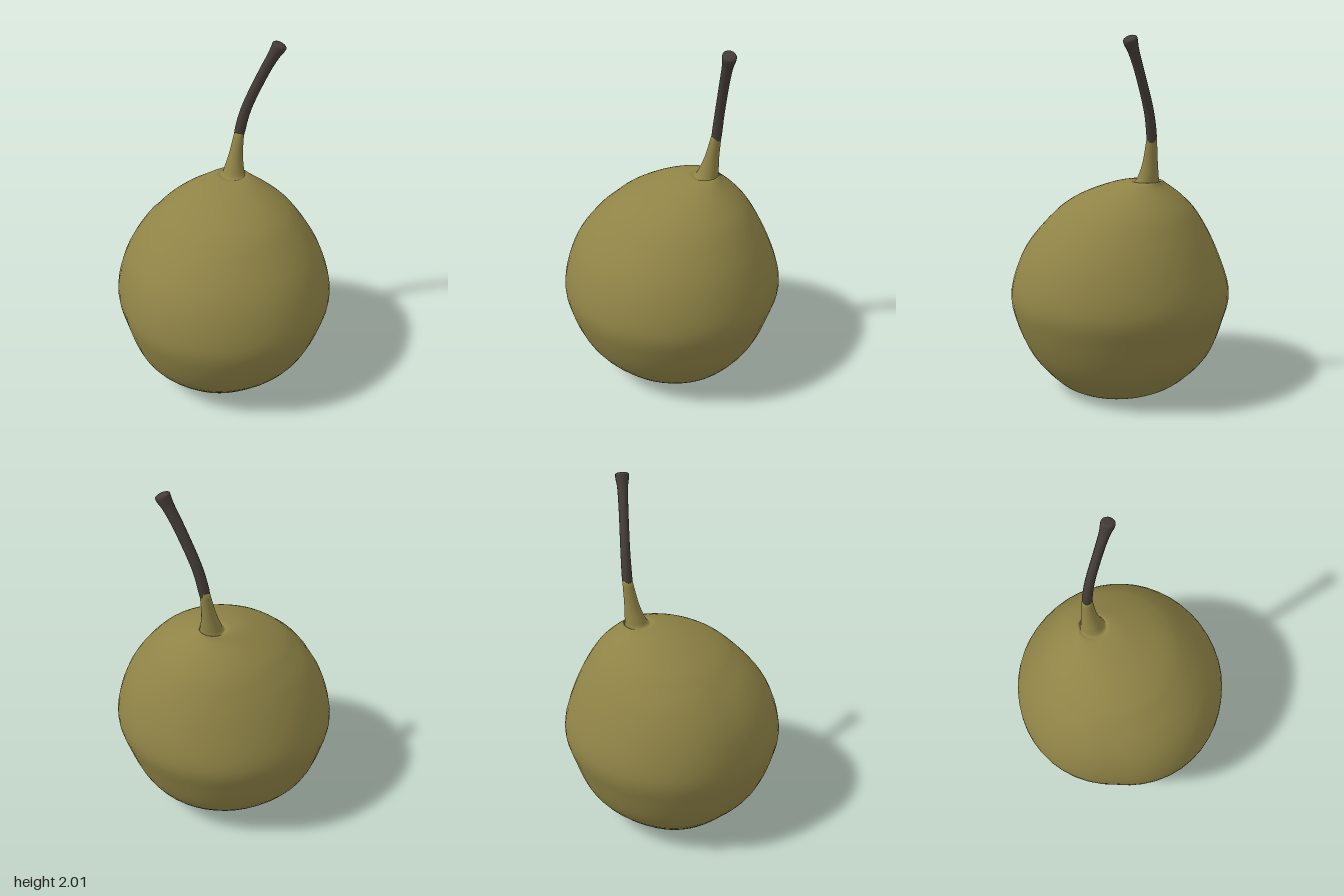
import * as THREE from 'three';

// Smooth loft through rings given as [y, xMin, xMax, zMin, zMax], bottom to top, capped at both ends
function loft(rows, segments, steps, shape) {
  const centres = new THREE.CatmullRomCurve3(
    rows.map(([y, a, b, c, d]) => new THREE.Vector3((a + b) / 2, y, (c + d) / 2)), false, 'catmullrom');
  const radii = new THREE.CatmullRomCurve3(
    rows.map(([, a, b, c, d]) => new THREE.Vector3((b - a) / 2, 0, (d - c) / 2)), false, 'catmullrom');
  const count = (rows.length - 1) * steps;
  const positions = [], index = [];
  for (let j = 0; j <= count; j++) {
    const c = centres.getPoint(j / count), r = radii.getPoint(j / count);
    for (let i = 0; i < segments; i++) {
      const t = (i / segments) * Math.PI * 2;
      const p = new THREE.Vector3(r.x * Math.cos(t), 0, -r.z * Math.sin(t));
      shape(p, c, t);
      positions.push(c.x + p.x, c.y + p.y, c.z + p.z);
      if (j < count) {
        const a = j * segments + i, b = j * segments + (i + 1) % segments;
        index.push(a, b, b + segments, a, b + segments, a + segments);
      }
    }
  }
  // end caps
  const last = count * segments;
  for (let i = 1; i < segments - 1; i++) {
    index.push(0, i + 1, i, last, last + i, last + i + 1);
  }
  const geometry = new THREE.BufferGeometry();
  geometry.setAttribute('position', new THREE.Float32BufferAttribute(positions, 3));
  geometry.setIndex(index);
  geometry.computeVertexNormals();
  return geometry;
}

export function createModel() {
  const group = new THREE.Group();
  const skin = new THREE.MeshStandardMaterial({ name: 'olive skin', color: 0x8f8346 });
  const bark = new THREE.MeshStandardMaterial({ name: 'dark bark', color: 0x453d37 });
  const add = (name, geometry, material) => {
    const mesh = new THREE.Mesh(geometry, material);
    mesh.name = name;
    group.add(mesh);
    return mesh;
  };

  // Fruit: dimpled underside, round belly, leaning shoulder and fleshy neck
  const fruitRows = [
    [0.085, 0.025, 0.055, -0.025, 0.005],
    [0.075, -0.03, 0.11, -0.08, 0.06],
    [0.04, -0.13, 0.19, -0.17, 0.15],
    [0.01, -0.24, 0.24, -0.24, 0.22],
    [0.01, -0.33, 0.31, -0.31, 0.31],
    [0.05, -0.40, 0.385, -0.375, 0.38],
    [0.2, -0.525, 0.5, -0.515, 0.515],
    [0.4, -0.595, 0.58, -0.59, 0.6],
    [0.57, -0.615, 0.615, -0.62, 0.62],
    [0.8, -0.55, 0.55, -0.545, 0.54],
    [1.0, -0.405, 0.43, -0.44, 0.375],
    [1.1, -0.275, 0.33, -0.355, 0.24],
    [1.175, -0.12, 0.225, -0.265, 0.06],
    [1.203, 0.0, 0.18, -0.235, -0.055],
    [1.2, 0.04, 0.172, -0.222, -0.085],
    [1.24, 0.06, 0.169, -0.217, -0.108],
    [1.32, 0.09, 0.167, -0.212, -0.132],
    [1.455, 0.125, 0.178, -0.207, -0.153],
  ];
  add('fruit', loft(fruitRows, 48, 4, (p, c, t) => {
    // slight fullness at the left-hand diagonals of the belly
    if (c.y < 1.0) {
      const k = 1 + 0.035 * Math.max(0, -Math.cos(t)) * Math.abs(Math.sin(2 * t));
      p.x *= k;
      p.z *= k;
    }
    // uneven rim around the underside, highest towards the back corner
    const radius = Math.hypot(p.x, p.z);
    if (c.y < 0.3) {
      const rim = Math.exp(-(((radius - 0.28) / 0.1) ** 2));
      p.y += rim * (0.012 * Math.cos(t - Math.PI / 4) - 0.006 * Math.cos(3 * t));
    }
  }), skin);

  // Woody stem, flared and slanted at the cut end
  const stemRows = [
    [1.4, 0.125, 0.167, -0.198, -0.157],
    [1.45, 0.124, 0.18, -0.207, -0.151],
    [1.6, 0.159, 0.213, -0.189, -0.137],
    [1.8, 0.229, 0.284, -0.143, -0.093],
    [1.91, 0.272, 0.332, -0.117, -0.06],
    [1.955, 0.287, 0.359, -0.111, -0.039],
    [1.977, 0.293, 0.367, -0.107, -0.035],
    [1.986, 0.307, 0.356, -0.096, -0.047],
  ];
  add('stem', loft(stemRows, 14, 4, (p) => {
    p.y -= 0.35 * p.x + 0.2 * p.z;
  }), bark);

  // Dried blossom end in the dimple
  const calyx = add('blossomEnd', new THREE.SphereGeometry(0.024, 12, 8), bark);
  calyx.scale.y = 0.5;
  calyx.position.set(0.04, 0.077, -0.01);

  return group;
}
